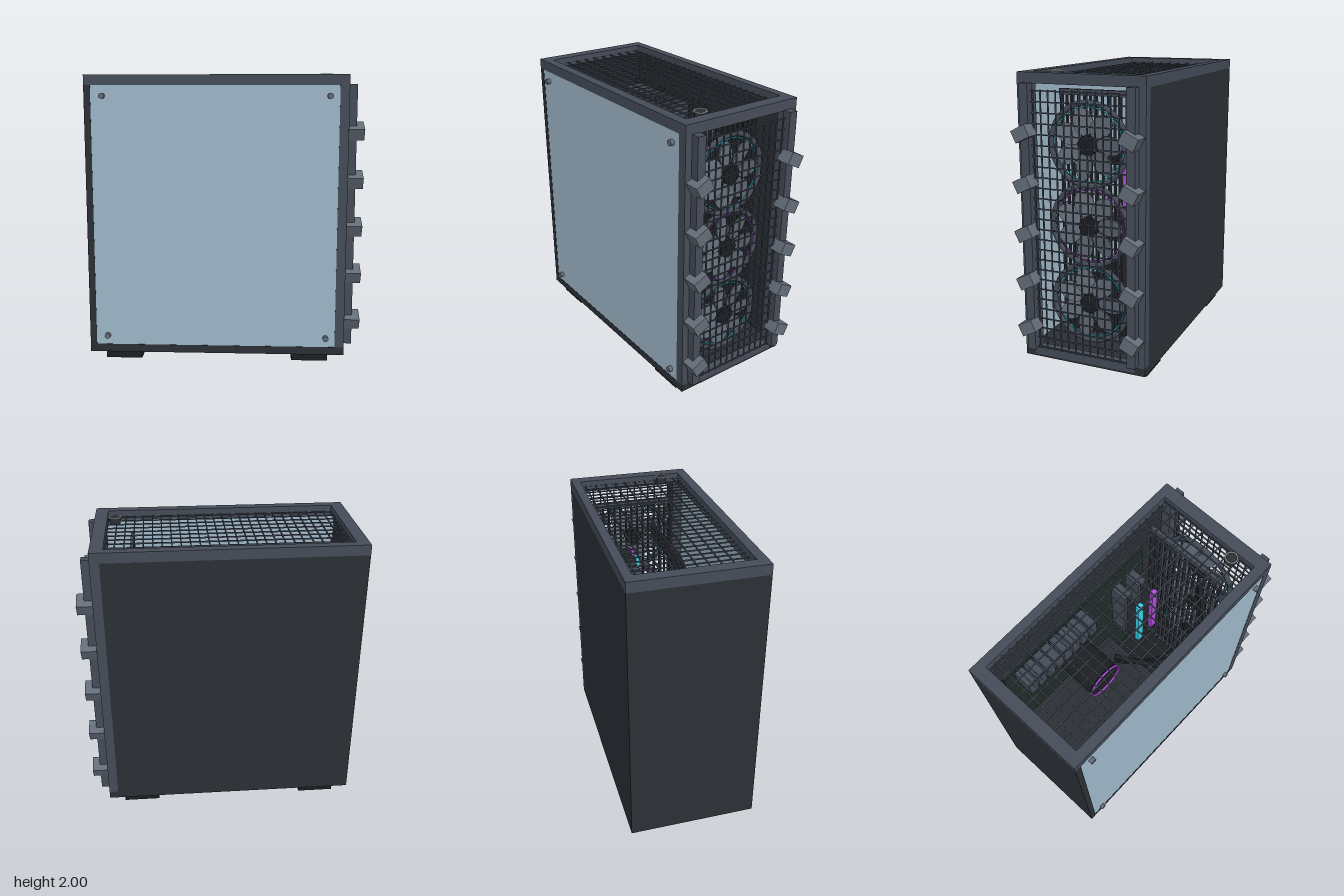
import * as THREE from 'three';

const ZC = -0.0125; // middle of the case body in z
const FRAME = 0x454c58, DARK = 0x2b2f35, GLASS = 0x9fb8c9, METAL = 0x636c78;
const BLACK = 0x1c1e22, CYAN = 0x35d0e8, VIOLET = 0xb44be0;

const mats = new Map();
function mat(color) {
  if (!mats.has(color)) mats.set(color, new THREE.MeshStandardMaterial({ color }));
  return mats.get(color);
}

export function createModel() {
  const root = new THREE.Group();
  root.name = 'computerCase';

  function add(name, geo, color, x = 0, y = 0, z = 0, parent = root) {
    const m = new THREE.Mesh(geo, mat(color));
    m.name = name;
    m.position.set(x, y, z);
    parent.add(m);
    return m;
  }
  // box given by its limits
  function box(name, color, x0, x1, y0, y1, z0, z1, parent = root) {
    return add(name, new THREE.BoxGeometry(x1 - x0, y1 - y0, z1 - z0), color,
      (x0 + x1) / 2, (y0 + y1) / 2, (z0 + z1) / 2, parent);
  }
  function group(name) {
    const g = new THREE.Group();
    g.name = name;
    root.add(g);
    return g;
  }

  // feet
  for (const x of [-0.712, 0.602]) for (const s of [-1, 1])
    box('foot', BLACK, x - 0.127, x + 0.127, 0, 0.06, ZC + s * 0.335 - 0.077, ZC + s * 0.335 + 0.077);

  // closed panels
  box('base', DARK, -0.945, 0.838, 0.055, 0.11, -0.455, 0.43);
  box('backPanel', DARK, -0.945, -0.9, 0.11, 1.92, -0.43, 0.43);
  box('solidSidePanel', DARK, -0.945, 0.775, 0.11, 1.92, -0.455, -0.43);
  box('glassPanel', GLASS, -0.9, 0.775, 0.11, 1.92, 0.405, 0.428);

  // front posts and sill
  for (const s of [-1, 1]) {
    const z = ZC + s * 0.393;
    box('frontPost', FRAME, 0.775, 0.838, 0.11, 1.92, z - 0.0495, z + 0.0495);
  }
  box('frontSill', FRAME, 0.775, 0.84, 0.07, 0.125, ZC - 0.37, ZC + 0.37);

  // top frame: a plate with a rectangular opening
  const top = new THREE.Shape([[-0.945, -0.43], [0.838, -0.43], [0.838, 0.455], [-0.945, 0.455]]
    .map(p => new THREE.Vector2(...p)));
  top.holes.push(new THREE.Path([[-0.86, -0.362], [-0.86, 0.394], [0.75, 0.394], [0.75, -0.362]]
    .map(p => new THREE.Vector2(...p))));
  const topGeo = new THREE.ExtrudeGeometry(top, { depth: 0.07, bevelEnabled: false });
  topGeo.rotateX(-Math.PI / 2);
  add('topFrame', topGeo, FRAME, 0, 1.92, 0);

  // top mesh
  const topMesh = group('topMesh');
  for (let i = 0; i <= 26; i++) {
    const x = -0.862 + i * 0.062;
    box('topMeshBar', FRAME, x - 0.004, x + 0.004, 1.942, 1.95, -0.394, 0.362, topMesh);
  }
  for (let i = 0; i < 10; i++) {
    const z = -0.358 + i * 0.0758;
    box('topMeshRod', FRAME, -0.86, 0.75, 1.948, 1.956, z - 0.004, z + 0.004, topMesh);
  }

  // front mesh
  const frontMesh = group('frontMesh');
  for (let i = 0; i <= 12; i++) {
    const z = ZC - 0.324 + i * 0.054;
    box('frontMeshBar', FRAME, 0.844, 0.852, 0.125, 1.885, z - 0.004, z + 0.004, frontMesh);
  }
  for (let i = 0; i <= 25; i++) {
    const y = 0.14 + i * 0.0695;
    box('frontMeshRod', FRAME, 0.85, 0.858, y - 0.004, y + 0.004, ZC - 0.345, ZC + 0.345, frontMesh);
  }

  // side rails with tilted blocks
  for (const s of [-1, 1]) {
    const z = ZC + s * 0.366;
    box('frontRail', FRAME, 0.835, 0.895, 0.125, 1.925, z - 0.03, z + 0.03);
    for (let i = 0; i < 5; i++) {
      const b = add('railBlock', new THREE.BoxGeometry(0.105, 0.085, 0.11), METAL,
        0.8925, 0.297 + i * 0.329, ZC + s * 0.37);
      b.rotation.x = s * 0.46;
    }
  }

  // fans, built facing +z and turned to +x
  const blade = new THREE.Shape();
  blade.absellipse(0.15, 0, 0.09, 0.066, 0, Math.PI * 2, false, 0);
  const bladeGeo = new THREE.ExtrudeGeometry(blade, { depth: 0.01, bevelEnabled: false, curveSegments: 10 });
  [0.46, 0.997, 1.533].forEach((y, n) => {
    const fan = group('fan');
    fan.position.set(0.72, y, ZC);
    fan.rotation.y = Math.PI / 2;
    add('fanRing', new THREE.TorusGeometry(0.27, 0.018, 8, 48), FRAME, 0, 0, 0, fan);
    add('fanLight', new THREE.TorusGeometry(0.243, 0.005, 6, 48), n === 1 ? VIOLET : CYAN, 0, 0, 0, fan);
    const hub = add('fanHub', new THREE.CylinderGeometry(0.065, 0.065, 0.06, 24), BLACK, 0, 0, 0, fan);
    hub.rotation.x = Math.PI / 2;
    for (let i = 0; i < 7; i++) {
      const b = add('fanBlade', bladeGeo, METAL, 0, 0, 0, fan);
      b.rotation.set(0.25, 0, 0.02 + i * Math.PI * 2 / 7, 'ZXY');
    }
  });

  // radiator fins behind the fans
  const radiator = group('radiator');
  for (let i = 0; i < 15; i++) {
    const z = -0.35 + i * 0.043;
    box('radiatorFin', DARK, 0.57, 0.595, 0.14, 1.87, z - 0.005, z + 0.005, radiator);
  }
  for (const y of [0.14, 1.83])
    box('radiatorEnd', FRAME, 0.57, 0.595, y, y + 0.04, -0.36, 0.26, radiator);

  // inside: power supply cover, main board, heat sink, memory
  box('powerSupplyCover', BLACK, -0.88, 0.5, 0.11, 0.4, -0.42, 0.3);
  box('mainBoard', 0x1f2b28, -0.82, 0.48, 0.5, 1.75, -0.36, -0.335);
  for (let i = 0; i < 8; i++) {
    const x = -0.735 + i * 0.078;
    box('heatSinkFin', FRAME, x, x + 0.065, 1.58, 1.72, -0.335, -0.2);
  }
  [[0.195, CYAN], [0.335, VIOLET]].forEach(([x, c]) => {
    box('memoryStick', FRAME, x - 0.035, x + 0.035, 1.05, 1.6, -0.335, -0.21);
    box('memoryEdge', DARK, x - 0.015, x + 0.015, 1.05, 1.6, -0.21, -0.12);
    box('memoryLight', c, x - 0.025, x + 0.025, 1.05, 1.6, -0.12, -0.09);
  });

  // processor cooler
  const cooler = add('processorCooler', new THREE.CylinderGeometry(0.14, 0.14, 0.32, 32), BLACK, -0.27, 1.25, -0.175);
  cooler.rotation.x = Math.PI / 2;
  add('coolerLight', new THREE.TorusGeometry(0.14, 0.008, 6, 40), VIOLET, -0.27, 1.25, 0);

  // graphics card
  box('graphicsCard', DARK, -0.84, 0.1, 0.7, 0.86, -0.335, 0.2);
  box('graphicsCardEdge', FRAME, -0.84, 0.1, 0.72, 0.84, 0.2, 0.215);
  box('graphicsCardLight', CYAN, -0.35, 0.07, 0.77, 0.79, 0.215, 0.223);

  // cables
  for (let i = 0; i < 3; i++) {
    const path = new THREE.CatmullRomCurve3([
      new THREE.Vector3(-0.12, 1.25 + i * 0.05, -0.05), new THREE.Vector3(0.1, 1.3, 0.18 + i * 0.03),
      new THREE.Vector3(0.4, 1.4, 0.24 + i * 0.03), new THREE.Vector3(0.57, 1.6 + i * 0.04, 0.1)]);
    add('cable', new THREE.TubeGeometry(path, 24, 0.018, 8), BLACK);
  }

  // glass screws
  for (const x of [-0.82, 0.71]) for (const y of [0.175, 1.848]) {
    const s = add('glassScrew', new THREE.CylinderGeometry(0.02, 0.02, 0.04, 16), METAL, x, y, 0.435);
    s.rotation.x = Math.PI / 2;
  }

  // power button with a bright ring
  add('powerButton', new THREE.CylinderGeometry(0.038, 0.038, 0.05, 28), DARK, 0.7, 1.97, 0.215);
  const ring = add('powerButtonRing', new THREE.TorusGeometry(0.04, 0.005, 8, 32), 0xcccccc, 0.7, 1.995, 0.215);
  ring.rotation.x = Math.PI / 2;

  return root;
}
